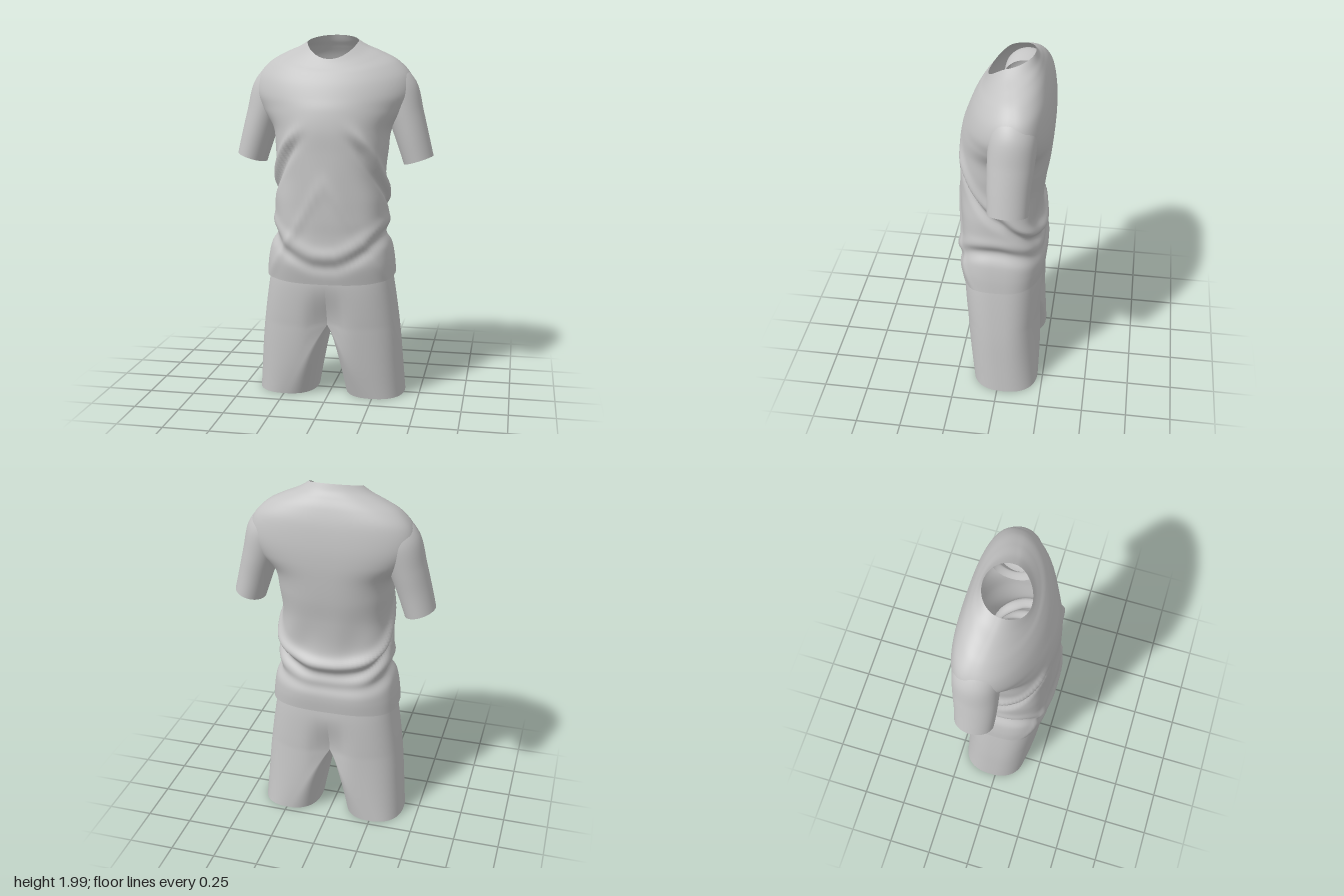
import * as THREE from 'three';

const SEG = 80;
const cloth = new THREE.MeshStandardMaterial({ color: 0xc4c4c4, side: THREE.DoubleSide });
cloth.name = 'greyCloth';

const lerp = THREE.MathUtils.lerp;
const smooth = (x, a, b) => THREE.MathUtils.smoothstep(x, a, b);
const bell = (t, w) => Math.exp(-(t / w) * (t / w));
const power = (v, p) => Math.sign(v) * Math.pow(Math.abs(v), p);

// Smoothly interpolates a table of rows; t runs from 0 to 1
function sample(table, t) {
  const f = t * (table.length - 1);
  const i = Math.min(Math.floor(f), table.length - 2);
  const u = f - i;
  const at = k => table[THREE.MathUtils.clamp(k, 0, table.length - 1)];
  return table[i].map((b, k) => {
    const a = at(i - 1)[k], c = at(i + 1)[k], d = at(i + 2)[k];
    return b + 0.5 * u * (c - a + u * (2 * a - 5 * b + 4 * c - d + u * (3 * (b - c) + d - a)));
  });
}

// Open loft of closed rings; point(t, angle) gives a position
function loft(name, rows, point, side = 1, keep = () => true) {
  const pos = [], index = [];
  for (let i = 0; i <= rows; i++) {
    for (let j = 0; j < SEG; j++) {
      const [x, y, z] = point(i / rows, (j / SEG) * Math.PI * 2);
      pos.push(x * side, y, z);
    }
  }
  for (let i = 0; i < rows; i++) {
    for (let j = 0; j < SEG; j++) {
      if (!keep((i + 0.5) / rows, ((j + 0.5) / SEG) * Math.PI * 2)) continue;
      const a = i * SEG + j, b = i * SEG + (j + 1) % SEG, c = a + SEG, d = b + SEG;
      if (side > 0) index.push(a, b, c, b, d, c);
      else index.push(a, c, b, b, c, d);
    }
  }
  const geo = new THREE.BufferGeometry();
  geo.setAttribute('position', new THREE.Float32BufferAttribute(pos, 3));
  geo.setIndex(index);
  geo.computeVertexNormals();
  const mesh = new THREE.Mesh(geo, cloth);
  mesh.name = name;
  return mesh;
}

// Shirt body: height, half width, front z, back z, side z, front drop
const BODY = [
  [1.965, 0.140, 0.090, -0.150, -0.03, 0.092],
  [1.935, 0.195, 0.102, -0.165, -0.04, 0.085],
  [1.905, 0.270, 0.118, -0.185, -0.055, 0.080],
  [1.860, 0.355, 0.140, -0.212, -0.07, 0.065],
  [1.785, 0.422, 0.170, -0.238, -0.08, 0.045],
  [1.690, 0.440, 0.198, -0.253, -0.08, 0.020],
  [1.600, 0.400, 0.222, -0.256, -0.07, 0],
  [1.500, 0.325, 0.238, -0.250, -0.03, 0],
  [1.380, 0.308, 0.240, -0.237, -0.01, 0],
  [1.250, 0.298, 0.243, -0.215, 0, 0],
  [1.120, 0.315, 0.245, -0.200, 0, 0],
  [1.020, 0.315, 0.245, -0.205, 0, 0],
  [0.940, 0.308, 0.243, -0.215, 0, 0],
  [0.860, 0.333, 0.245, -0.235, 0, 0],
  [0.780, 0.348, 0.248, -0.237, 0, 0.01],
  [0.700, 0.356, 0.230, -0.230, 0, 0.03],
];

// Draped creases: a raised lip over a hollow, plus shallow tension folds
function folds(y, s, c) {
  const lip = t => bell(t - 0.03, 0.04) - 1.1 * bell(t + 0.035, 0.035);
  const sash = y - (1.17 + 0.2 * s + 0.15 * Math.max(0, s) ** 3);
  const swag = y - (s > 0 ? 0.78 + 0.19 * Math.sqrt(c * c + 0.01) : 0.97 + 0.07 * s);
  let f = 0.020 * lip(sash) * (1 - smooth(s, 0.8, 0.99));
  f += 0.012 * lip(swag);
  f += 0.007 * bell(y - 1.22 + 0.6 * Math.abs(c), 0.05) * smooth(s, 0.2, 0.8);
  f += 0.008 * bell(y - 1.12 + 0.12 * s * s, 0.03) * smooth(-s, 0, 0.6);
  f += 0.005 * Math.sin(c * 9 + y * 7) * bell(y - 1.05, 0.2);
  return f;
}

function bodyPoint(t, a) {
  const [y0, w, zf, zb, zc, drop] = sample(BODY, t);
  const c = Math.cos(a), s = Math.sin(a);
  // The chest slants towards the shoulders, the back stays flat, the hips are boxier
  const waist = lerp(0.7, 0.82, smooth(y0, 0.85, 1.1));
  const p = s > 0
    ? lerp(waist, 1, smooth(y0, 1.42, 1.65))
    : lerp(lerp(waist, 0.75, smooth(y0, 1.4, 1.65)), 1, smooth(y0, 1.8, 1.95));
  const y = y0 - (s > 0 ? drop * Math.pow(s, 1.5) : 0.38 * drop * s);
  const f = folds(y, s, c);
  const x = w * power(c, p) + f * c;
  const z = zc + (s > 0 ? zf - zc : zc - zb) * power(s, p) + f * s;
  return [x, y, z];
}

// Sleeve rings: centre x, y and z, outward normal x and y, half width, half depth
const SLEEVE = [
  [0.230, 1.730, -0.07, 0.30, 0.95, 0.085, 0.115],
  [0.305, 1.740, -0.075, 0.52, 0.86, 0.110, 0.120],
  [0.355, 1.685, -0.08, 0.84, 0.54, 0.115, 0.122],
  [0.400, 1.560, -0.075, 0.94, 0.34, 0.098, 0.117],
  [0.437, 1.440, -0.07, 0.95, 0.31, 0.090, 0.110],
  [0.470, 1.325, -0.07, 0.955, 0.30, 0.084, 0.104],
];

function sleevePoint(t, a) {
  const [cx, cy, cz, nx, ny, h, d] = sample(SLEEVE, t);
  const c = Math.cos(a), s = Math.sin(a);
  return [cx + nx * h * c, cy + ny * h * c, cz + d * s];
}

// Shorts: height, outer x, front z, back z
const LEG = [
  [0.78, 0.325, 0.215, -0.210],
  [0.65, 0.348, 0.222, -0.220],
  [0.50, 0.370, 0.215, -0.222],
  [0.35, 0.388, 0.200, -0.220],
  [0.18, 0.402, 0.178, -0.220],
  [0.01, 0.415, 0.150, -0.220],
];
const CROTCH = 0.42;

// Half of a hip section above the crotch, easing into a round leg below it
function legPoint(t, a) {
  const [y, xo, zf, zb] = sample(LEG, t);
  const c = Math.cos(a), s = Math.sin(a);
  const split = Math.pow(Math.max(0, (CROTCH - y) / CROTCH), 0.85);
  const p = lerp(0.72, 0.84, split);
  const zc = (zf + zb) / 2, d = (zf - zb) / 2;
  const hipX = c > 0 ? xo * power(c, p) : 0;
  const xi = 0.085, legX = (xo + xi) / 2 + (xo - xi) / 2 * power(c, p);
  const x = lerp(hipX, legX, split);
  // Soft hollow along the centre seam, front and back
  const cleft = 0.055 * bell(x, 0.08) * smooth(0.68 - y, 0, 0.26) * (1 - split);
  return [x, y, zc + d * power(s, p) - cleft * s];
}

export function createModel() {
  const model = new THREE.Group();
  model.name = 'sportsOutfit';

  const shirt = new THREE.Group();
  shirt.name = 'shirt';
  shirt.add(loft('shirtBody', 140, bodyPoint));

  const shorts = new THREE.Group();
  shorts.name = 'shorts';

  for (const [label, side] of [['left', 1], ['right', -1]]) {
    shirt.add(loft(label + 'Sleeve', 36, sleevePoint, side));
    // The inner thigh panel only exists below the crotch
    shorts.add(loft(label + 'ShortsLeg', 50, legPoint, side,
      (t, a) => Math.cos(a) > 0 || sample(LEG, t)[0] < CROTCH));
  }

  model.add(shirt, shorts);
  return model;
}
